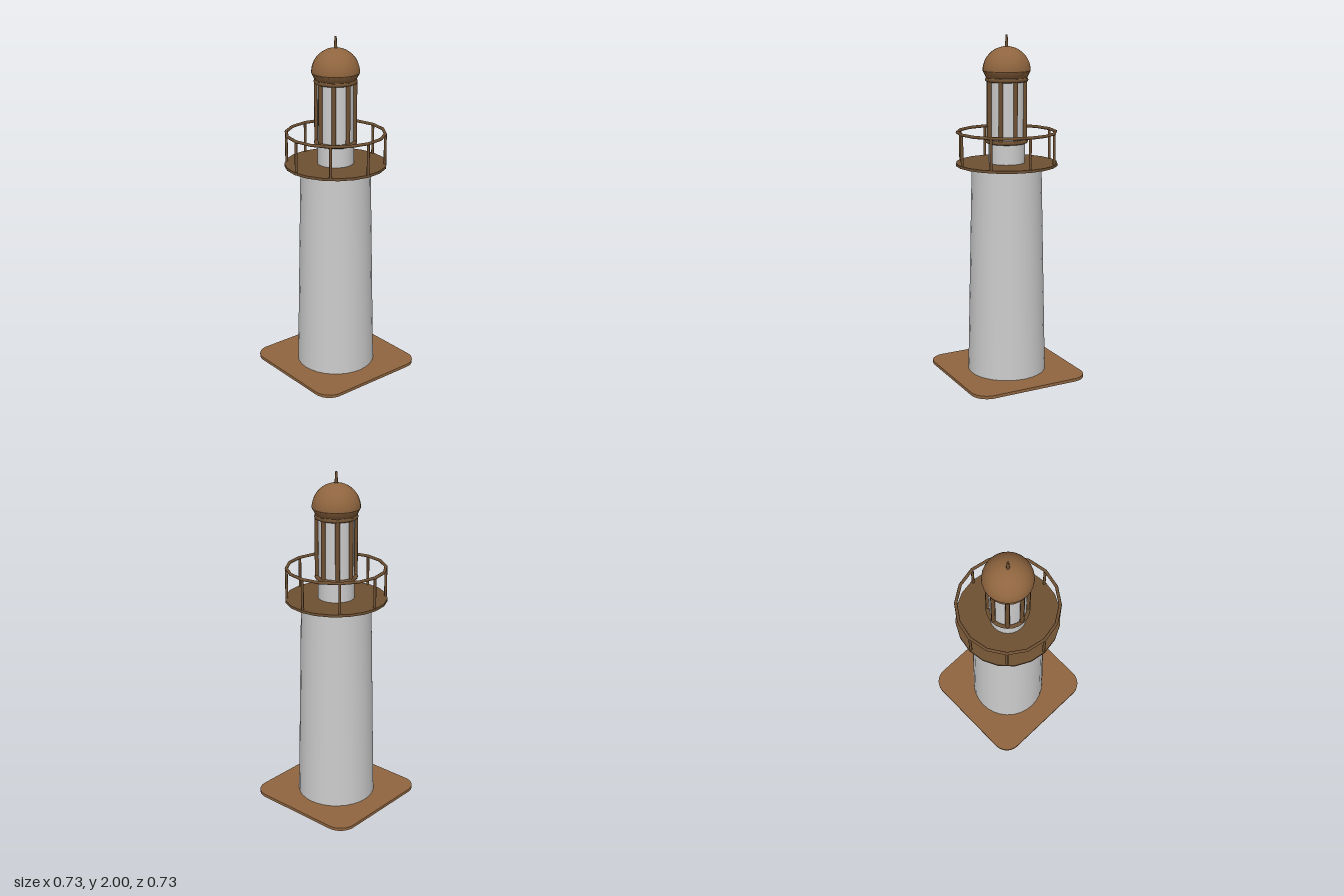
import * as THREE from 'three';

const grey = new THREE.MeshStandardMaterial({ color: 0xcccccc });
const brown = new THREE.MeshStandardMaterial({ color: 0x8f653f });
const darkBrown = new THREE.MeshStandardMaterial({ color: 0x6e5032 });

export function createModel() {
  const group = new THREE.Group();

  function add(name, geometry, material, x = 0, y = 0, z = 0) {
    const mesh = new THREE.Mesh(geometry, material);
    mesh.name = name;
    mesh.position.set(x, y, z);
    group.add(mesh);
    return mesh;
  }

  // Upright cylinder or cone between two heights
  function column(name, rBottom, rTop, y0, y1, sides, material, x = 0, z = 0) {
    const geometry = new THREE.CylinderGeometry(rTop, rBottom, y1 - y0, sides);
    return add(name, geometry, material, x, (y0 + y1) / 2, z);
  }

  // Flat horizontal ring
  function ring(name, radius, tube, y, sides) {
    const geometry = new THREE.TorusGeometry(radius, tube, 8, sides).rotateX(Math.PI / 2);
    return add(name, geometry, darkBrown, 0, y);
  }

  // Eight uprights evenly spaced around the axis
  function uprights(name, radius, thickness, y0, y1) {
    for (let i = 0; i < 8; i++) {
      const a = (i * Math.PI) / 4;
      column(name, thickness, thickness, y0, y1, 8, darkBrown, Math.sin(a) * radius, Math.cos(a) * radius);
    }
  }

  // Square base slab with rounded corners
  const h = 0.363, r = 0.1;
  const slab = new THREE.Shape();
  slab.moveTo(-h + r, -h);
  slab.absarc(h - r, -h + r, r, -Math.PI / 2, 0);
  slab.absarc(h - r, h - r, r, 0, Math.PI / 2);
  slab.absarc(-h + r, h - r, r, Math.PI / 2, Math.PI);
  slab.absarc(-h + r, -h + r, r, Math.PI, Math.PI * 1.5);
  const slabGeometry = new THREE.ExtrudeGeometry(slab, { depth: 0.018, bevelEnabled: false, curveSegments: 8 });
  add('base', slabGeometry.rotateX(-Math.PI / 2), brown);

  // Tapered tower
  column('tower', 0.232, 0.203, 0.018, 1.26, 32, grey);

  // Gallery deck and railing
  column('galleryDeck', 0.295, 0.295, 1.258, 1.273, 20, darkBrown);
  uprights('railingPost', 0.284, 0.008, 1.27, 1.45);
  ring('handrail', 0.284, 0.009, 1.45, 16);

  // Lantern room
  column('lanternNeck', 0.105, 0.105, 1.27, 1.4, 24, grey);
  column('lanternGlass', 0.104, 0.104, 1.4, 1.75, 24, grey);
  ring('lanternLowerRing', 0.112, 0.012, 1.398, 24);
  ring('lanternUpperRing', 0.112, 0.012, 1.75, 24);
  uprights('lanternBar', 0.109, 0.013, 1.39, 1.76);

  // Domed roof, flaring out from the lantern and closed underneath
  const profile = [new THREE.Vector2(0, 1.762), new THREE.Vector2(0.118, 1.762)];
  const roofFlare = new THREE.LatheGeometry([...profile, new THREE.Vector2(0.137, 1.8)], 24);
  add('roofFlare', roofFlare, brown);
  const dome = new THREE.SphereGeometry(0.137, 24, 12, 0, Math.PI * 2, 0, Math.PI / 2);
  add('dome', dome, brown, 0, 1.8);

  // Finial
  column('finial', 0.01, 0.006, 1.93, 2, 8, darkBrown);

  return group;
}
